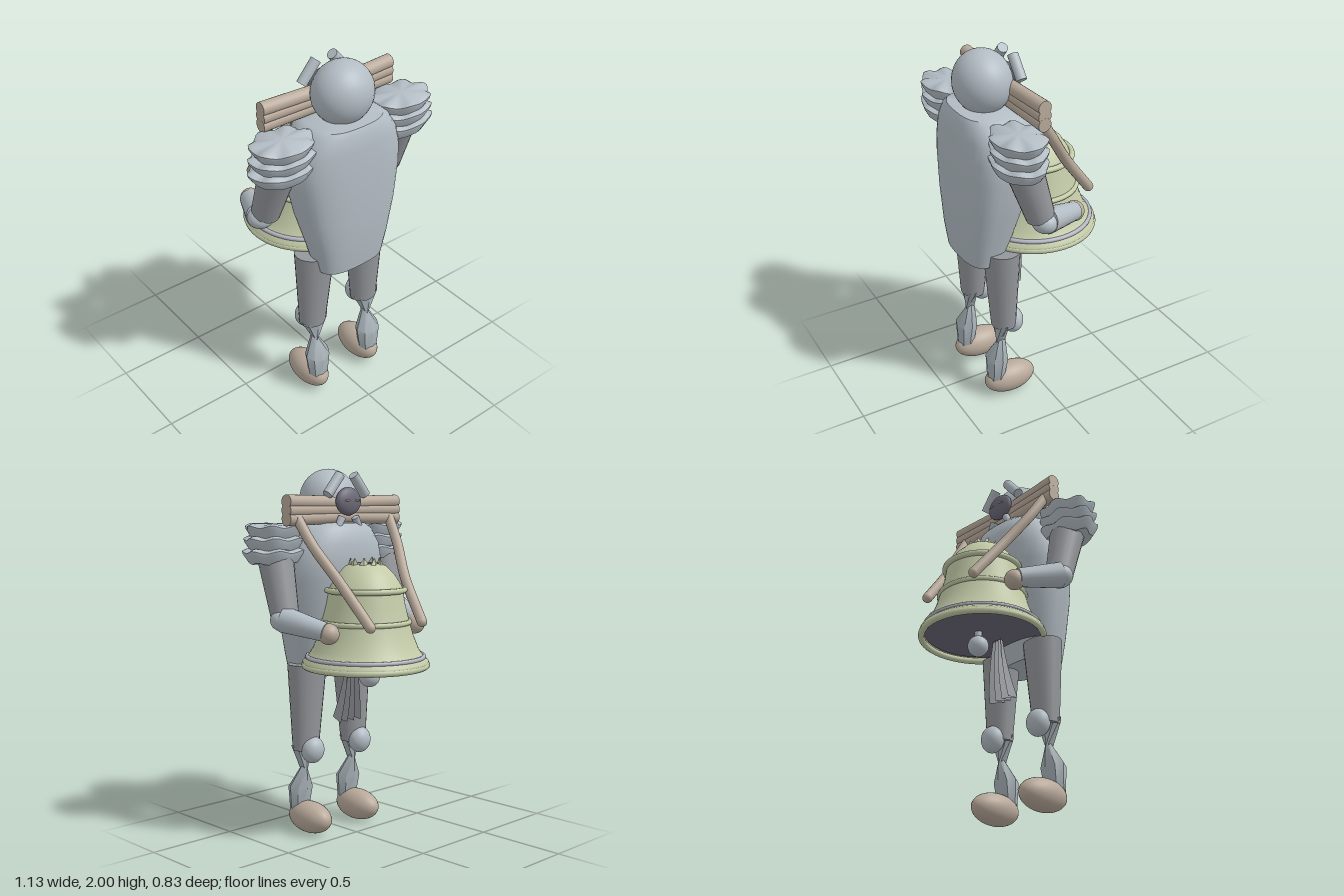
import * as THREE from 'three';
import { toCreasedNormals } from 'three/addons/utils/BufferGeometryUtils.js';

const mat = (name, color, side = THREE.FrontSide) => {
  const m = new THREE.MeshStandardMaterial({ color, side });
  m.name = name;
  return m;
};
const V = (x, y, z) => new THREE.Vector3(x, y, z);

// Skin through closed rings listed from bottom to top; point(ring, angle) gives [x, y, z]
function loft(rings, segments, point, crease = 0.7) {
  const pos = [], idx = [];
  rings.forEach((r) => {
    for (let j = 0; j < segments; j++) pos.push(...point(r, (j / segments) * Math.PI * 2));
  });
  for (let i = 0; i < rings.length - 1; i++) {
    for (let j = 0; j < segments; j++) {
      const a = i * segments + j, b = i * segments + ((j + 1) % segments);
      idx.push(a, a + segments, b, b, a + segments, b + segments);
    }
  }
  const g = new THREE.BufferGeometry();
  g.setAttribute('position', new THREE.Float32BufferAttribute(pos, 3));
  g.setIndex(idx);
  return toCreasedNormals(g, crease);
}

export function createModel() {
  const model = new THREE.Group();
  const armour = mat('armourGrey', 0xb2bcc3);
  const armourOpen = mat('shinGrey', 0xa6b0b6, THREE.DoubleSide);
  const cloth = mat('limbGrey', 0x94979b);
  const clothOpen = mat('tailGrey', 0x9a9ea2, THREE.DoubleSide);
  const wood = mat('warmBeige', 0xb9aa9b);
  const bronze = mat('paleGreen', 0xc3cba8, THREE.DoubleSide);
  const dark = mat('darkViolet', 0x6c6a78, THREE.DoubleSide);
  const band = mat('bandGrey', 0xb4b7c4);

  const add = (name, geometry, material, parent = model) => {
    const m = new THREE.Mesh(geometry, material);
    m.name = name;
    parent.add(m);
    return m;
  };
  const ball = (name, material, p, rx, ry = rx, rz = rx) => {
    const m = add(name, new THREE.SphereGeometry(1, 32, 20), material);
    m.position.copy(p);
    m.scale.set(rx, ry, rz);
    return m;
  };
  const rod = (name, material, a, b, ra, rb = ra) => {
    const m = add(name, new THREE.CylinderGeometry(rb, ra, a.distanceTo(b), 20), material);
    m.position.copy(a).lerp(b, 0.5);
    m.quaternion.setFromUnitVectors(V(0, 1, 0), b.clone().sub(a).normalize());
    return m;
  };

  // Torso: rounded slab, flat in front and curved behind [y, half width, front z, back z]
  const torso = [
    [0.87, 0, 0.28, 0.27], [0.87, 0.2, 0.39, 0.16], [1.0, 0.23, 0.405, 0.12], [1.2, 0.28, 0.41, 0.06],
    [1.4, 0.31, 0.41, 0.01], [1.5, 0.315, 0.405, -0.005], [1.6, 0.29, 0.4, 0],
    [1.68, 0.24, 0.39, 0.02], [1.71, 0.2, 0.375, 0.05], [1.72, 0, 0.22, 0.2],
  ];
  add('torso', loft(torso, 40, ([y, hx, zf, zb], t) => {
    const c = Math.cos(t), s = Math.sin(t), mid = (zf + zb) / 2;
    const power = s > 0 ? 0.6 : 0.95;
    return [hx * Math.sign(c) * Math.abs(c) ** 0.75, y,
      mid + Math.sign(s) * Math.abs(s) ** power * (zf - zb) / 2];
  }), armour);
  ball('head', armour, V(0, 1.835, 0.22), 0.165, 0.165, 0.15);

  for (const s of [-1, 1]) {
    const side = s > 0 ? 'left' : 'right';

    // Shoulder guard: three scalloped plates
    for (let k = 0; k < 3; k++) {
      const y = 1.695 - k * 0.065, w = 0.165 + k * 0.009;
      const plates = [[-0.06, 0.0], [-0.06, 0.8], [-0.015, 0.98], [0, 1], [0.012, 0.85], [0.016, 0]];
      add(side + 'ShoulderPlate', loft(plates, 48, ([dy, r], t) => {
        const wave = 1 + 0.05 * Math.cos(7 * t + k);
        return [s * 0.375 + Math.cos(t) * r * w * wave, y + dy + 0.007 * r * Math.cos(7 * t + k),
          0.23 + Math.sin(t) * r * 0.132 * wave];
      }), armour);
    }

    // Arm, reaching backwards to the bell
    rod(side + 'UpperArm', cloth, V(s * 0.385, 1.6, 0.23), V(s * 0.405, 1.24, 0.12), 0.1, 0.075);
    ball(side + 'Elbow', armour, V(s * 0.425, 1.215, 0.105), 0.074, 0.06, 0.068);
    rod(side + 'Forearm', armour, V(s * 0.43, 1.22, 0.1), V(s * 0.34, 1.165, -0.12), 0.07, 0.05);
    ball(side + 'Hand', wood, V(s * 0.325, 1.155, -0.13), 0.055);

    // Leg
    const thigh = rod(side + 'Thigh', cloth, V(s * 0.182, 0.47, 0.215), V(s * 0.168, 0.945, 0.215), 0.077, 0.115);
    thigh.scale.z = 0.85;
    ball(side + 'Knee', armour, V(s * 0.18, 0.475, 0.16), 0.068, 0.075, 0.06);
    const shin = [[0.12, 0.06, 0.045, 0.27], [0.25, 0.075, 0.06, 0.26], [0.36, 0.014, 0.028, 0.232], [0.49, 0.087, 0.036, 0.237]];
    add(side + 'Shin', loft(shin, 8, ([y, rx, rz, z], t) =>
      [s * 0.183 + Math.cos(t) * rx, y + 0.012 * Math.cos(2 * t), z + Math.sin(t) * rz]), armourOpen);
    ball(side + 'Foot', wood, V(s * 0.183, 0.09, 0.18), 0.084, 0.088, 0.152);

    // Strap from yoke to bell
    const path = new THREE.CatmullRomCurve3([V(s * 0.34, 1.74, 0.09), V(s * 0.315, 1.6, 0),
      V(s * 0.245, 1.41, -0.13), V(s * 0.195, 1.19, -0.3)]);
    add(side + 'Strap', new THREE.TubeGeometry(path, 20, 0.028, 14), wood);
    ball(side + 'StrapEnd', wood, V(s * 0.195, 1.19, -0.3), 0.028);

    // Knot ends around the clasp
    rod(side + 'UpperKnotEnd', armour, V(s * 0.05, 1.965, 0.075), V(s * 0.14, 1.86, 0.075), 0.028);
    rod(side + 'LowerKnotEnd', armour, V(s * 0.05, 1.74, 0.06), V(s * 0.1, 1.65, 0.06), 0.022, 0.015);

    // Yoke: three poles per side meeting behind the head
    [1.825, 1.78, 1.735].forEach((y, k) =>
      rod(side + 'YokePole', wood, V(0, y + 0.008 * k - 0.008, 0.115), V(s * 0.405, y, 0.1), 0.036));
  }

  // Clasp in the middle of the yoke, with two thin slits
  ball('clasp', dark, V(0, 1.825, 0.062), 0.088, 0.075, 0.035);
  for (const s of [-1, 1]) ball('claspSlit', wood, V(s * 0.035, 1.83, 0.03), 0.022, 0.005, 0.005);

  // Bell
  const bell = new THREE.Group();
  bell.name = 'bell';
  bell.position.z = -0.07;
  model.add(bell);
  const profile = [[0.32, 0.945], [0.342, 0.95], [0.34, 0.98], [0.315, 1.0], [0.285, 1.045], [0.255, 1.12],
    [0.235, 1.19], [0.212, 1.28], [0.2, 1.36], [0.19, 1.385], [0.155, 1.44], [0.11, 1.485], [0.075, 1.5]];
  const lathe = (scale, from) => new THREE.LatheGeometry(
    profile.slice(from).map(([r, y]) => new THREE.Vector2(r - scale, y)), 56);
  add('bellShell', lathe(0, 0), bronze, bell);
  add('bellInside', lathe(0.012, 3), dark, bell);
  const floor = add('bellFloor', new THREE.CircleGeometry(0.315, 48), dark, bell);
  floor.rotation.x = Math.PI / 2;
  floor.position.y = 0.975;
  for (const [name, r, t, y, m] of [['bellRim', 0.329, 0.018, 0.957, bronze], ['bellBand', 0.314, 0.012, 1.003, band],
    ['bellWaistRing', 0.236, 0.014, 1.19, bronze], ['bellShoulderRing', 0.208, 0.016, 1.36, bronze]]) {
    const ring = add(name, new THREE.TorusGeometry(r, t, 10, 64), m, bell);
    ring.rotation.x = Math.PI / 2;
    ring.position.y = y;
  }
  // Ragged crown around the bell's open top
  add('bellCrown', loft([0, 1], 18, (k, t) => {
    const r = 0.095 - 0.015 * k;
    return [Math.cos(t) * r, 1.485 + k * (0.025 + 0.022 * Math.cos(9 * t)), Math.sin(t) * r];
  }), bronze, bell);
  rod('clapperRod', armour, V(0, 0.9, -0.1), V(0, 1.38, -0.1), 0.02);
  ball('clapperTop', armour, V(0, 1.39, -0.1), 0.027);
  ball('clapper', armour, V(0, 0.893, -0.1), 0.057);

  // Pleated cloth tail hanging behind the legs
  const tail = new THREE.PlaneGeometry(1, 1, 6, 4);
  const p = tail.attributes.position;
  for (let i = 0; i < p.count; i++) {
    const u = p.getX(i), v = 0.5 - p.getY(i);
    const fold = Math.round((u + 0.5) * 6) % 2 ? 1 : -1;
    p.setXYZ(i, u * (0.06 + 0.09 * v), 0.97 - 0.335 * v + fold * 0.01 * v,
      0.045 + 0.045 * v * v + fold * (0.012 + 0.033 * v));
  }
  add('clothTail', toCreasedNormals(tail, 0.5), clothOpen);

  return model;
}
